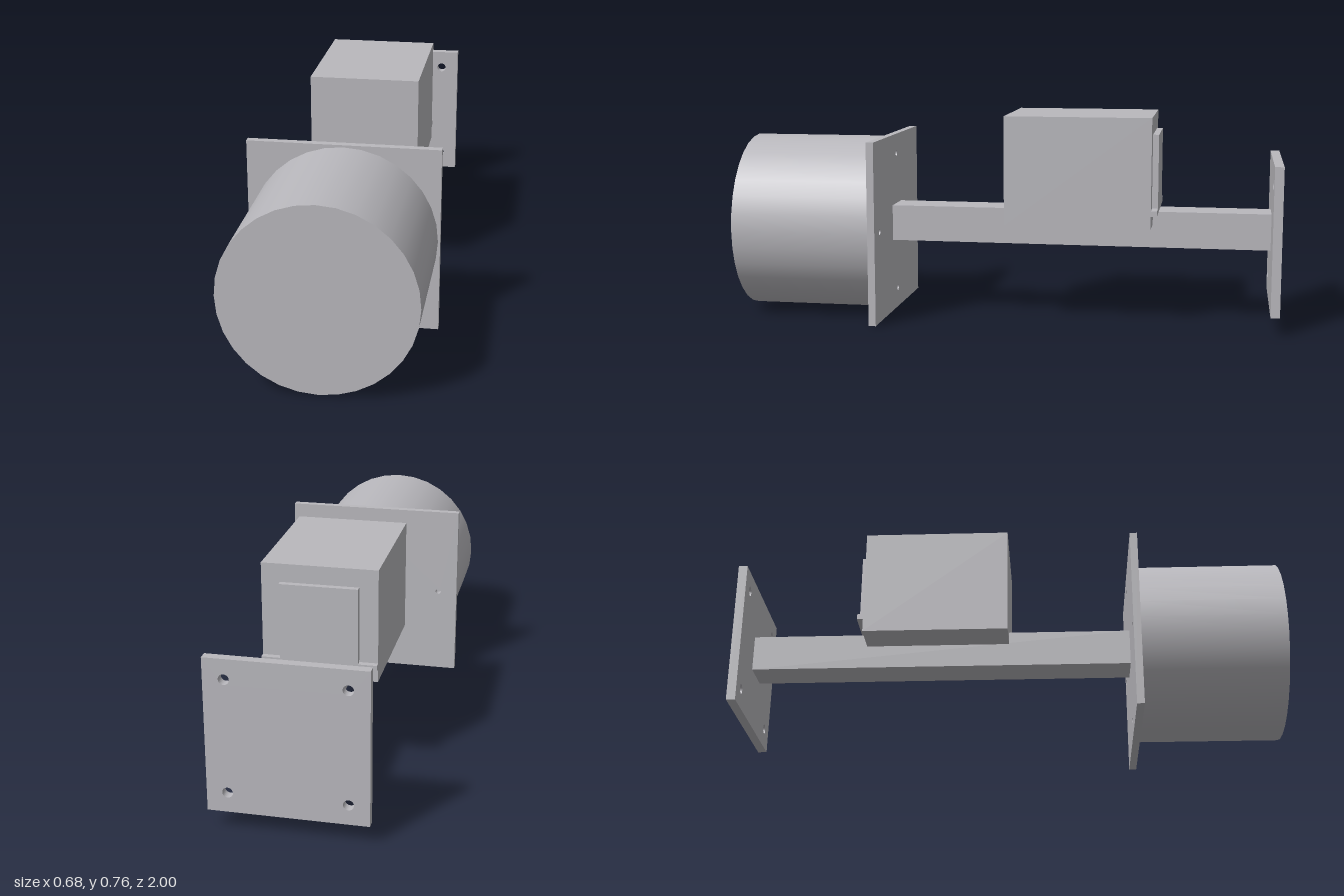
import * as THREE from 'three';

const AXIS_Y = 0.3375; // height of the common axis

export function createModel() {
  const model = new THREE.Group();
  const grey = new THREE.MeshStandardMaterial({ color: 0xb9b8bd });
  grey.name = 'metal grey';

  const add = (name, geometry, x, y, z) => {
    const mesh = new THREE.Mesh(geometry, grey);
    mesh.name = name;
    mesh.position.set(x, y, z);
    model.add(mesh);
    return mesh;
  };

  // Box given by its width and its y and z ranges
  const block = (name, w, y0, y1, z0, z1) =>
    add(name, new THREE.BoxGeometry(w, y1 - y0, z1 - z0), 0, (y0 + y1) / 2, (z0 + z1) / 2);

  // Square plate with round holes, extruded along z
  const plate = (name, size, z0, z1, holes, holeRadius) => {
    const h = size / 2;
    const shape = new THREE.Shape([
      new THREE.Vector2(-h, -h), new THREE.Vector2(h, -h),
      new THREE.Vector2(h, h), new THREE.Vector2(-h, h),
    ]);
    for (const [x, y] of holes) {
      shape.holes.push(new THREE.Path().absarc(x, y, holeRadius, 0, Math.PI * 2, true));
    }
    const geometry = new THREE.ExtrudeGeometry(shape, { depth: z1 - z0, bevelEnabled: false, curveSegments: 16 });
    add(name, geometry, 0, AXIS_Y, z0);
  };

  // Front drum and its mounting plate
  const drum = new THREE.CylinderGeometry(0.33, 0.33, 0.52, 32).rotateX(Math.PI / 2);
  add('drum', drum, 0, AXIS_Y, 0.74);
  const r = 0.263;
  plate('drumPlate', 0.675, 0.453, 0.48, [[r, 0], [-r, 0], [0, r], [0, -r]], 0.011);

  // Square beam joining both plates
  block('beam', 0.134, 0.274, 0.408, -0.967, 0.453);

  // Rear end plate with corner holes
  const c = 0.199;
  plate('endPlate', 0.538, -1, -0.967, [[c, c], [-c, c], [-c, -c], [c, -c]], 0.018);

  // Housing sitting over the beam
  block('housing', 0.405, 0.361, 0.765, -0.536, 0);

  // T-shaped cover on the back of the housing
  const cover = new THREE.Shape([
    [-0.203, 0.41], [0.203, 0.41], [0.203, 0.43], [0.137, 0.43],
    [0.137, 0.7], [-0.137, 0.7], [-0.137, 0.43], [-0.203, 0.43],
  ].map(([x, y]) => new THREE.Vector2(x, y)));
  add('housingCover', new THREE.ExtrudeGeometry(cover, { depth: 0.022, bevelEnabled: false }), 0, 0, -0.558);

  return model;
}
